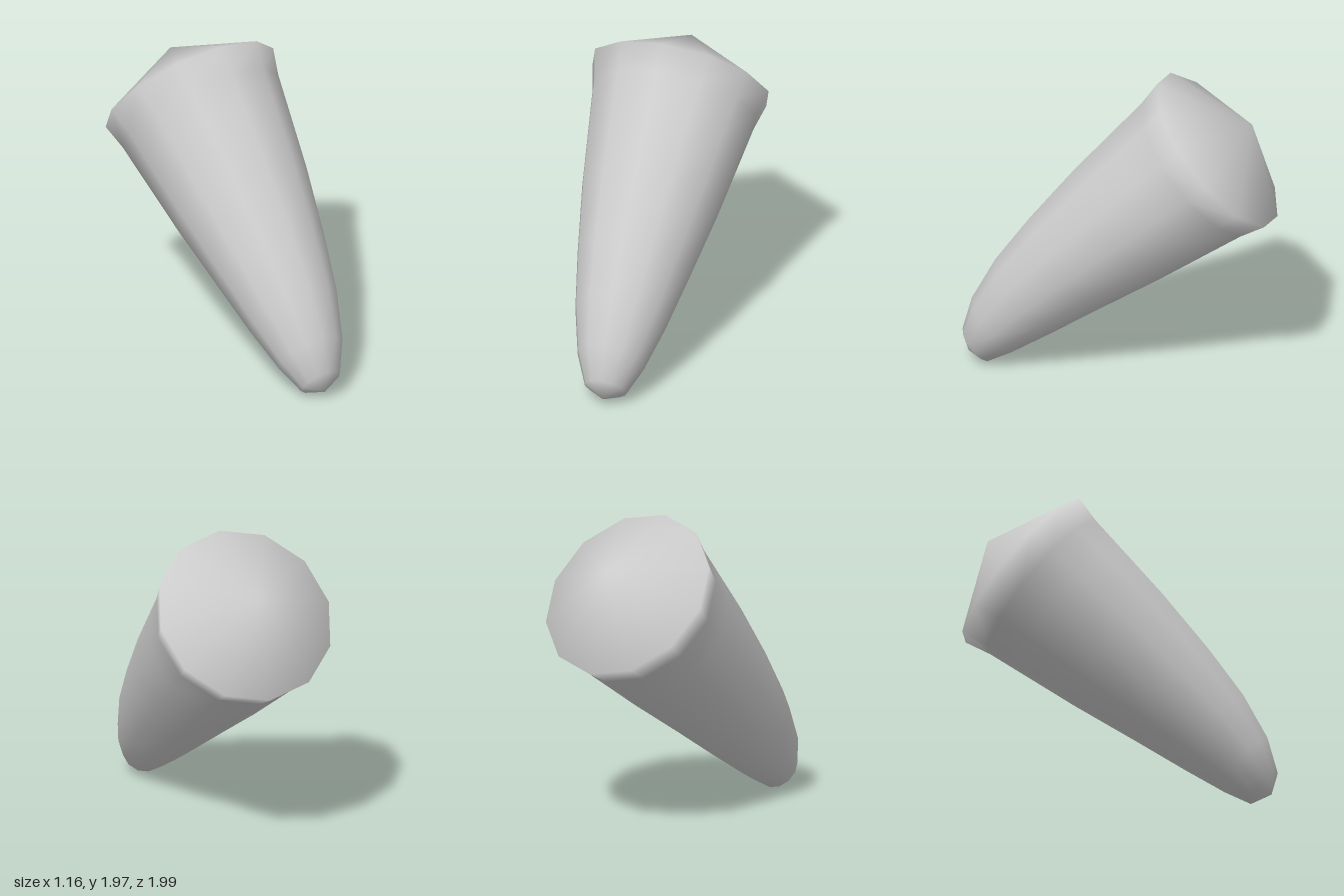
import * as THREE from 'three';

const SIDES = 12;

// Cross-sections from the wide rim to the tip: [distance along axis, sideways bend, radius]
const RINGS = [
  [0, 0, 0.58],
  [0.17, 0, 0.538],
  [0.4, 0, 0.506],
  [0.8, 0, 0.45],
  [1.25, -0.004, 0.371],
  [1.61, -0.019, 0.3],
  [1.9, -0.05, 0.22],
  [2.086, -0.09, 0.134],
];
const CAP_POINT = [-0.29, 0];
const TIP_POINT = [2.154, -0.095];

// Tilted frame: the axis runs forward and down, "up" is square to it
const center = new THREE.Vector3(0, 1.52, -0.62);
const axis = new THREE.Vector3(0, -0.654, 0.757);
const up = new THREE.Vector3(0, 0.757, 0.654);

function place(along, lift, side) {
  return center.clone().addScaledVector(axis, along).addScaledVector(up, lift).setX(side);
}

function taperedBody() {
  const points = [];
  const index = [];
  for (const [along, bend, radius] of RINGS) {
    for (let j = 0; j < SIDES; j++) {
      const t = (j / SIDES) * Math.PI * 2;
      points.push(place(along, bend + radius * Math.cos(t), radius * Math.sin(t)));
    }
  }
  const cap = points.push(place(...CAP_POINT, 0)) - 1;
  const tip = points.push(place(...TIP_POINT, 0)) - 1;
  const last = (RINGS.length - 1) * SIDES;

  for (let j = 0; j < SIDES; j++) {
    const k = (j + 1) % SIDES;
    // Shallow cone over the rim, and the blunt tip
    index.push(cap, j, k);
    index.push(tip, last + k, last + j);
    // Side walls
    for (let i = 0; i < last; i += SIDES) {
      index.push(i + j, i + SIDES + j, i + k);
      index.push(i + k, i + SIDES + j, i + SIDES + k);
    }
  }
  const geometry = new THREE.BufferGeometry().setFromPoints(points);
  geometry.setIndex(index);
  geometry.computeVertexNormals();
  return geometry;
}

export function createModel() {
  const grey = new THREE.MeshStandardMaterial({ color: 0xcccccc });
  grey.name = 'light grey';
  const body = new THREE.Mesh(taperedBody(), grey);
  body.name = 'taperedBody';
  const model = new THREE.Group();
  model.name = 'taperedPeg';
  model.add(body);
  return model;
}
